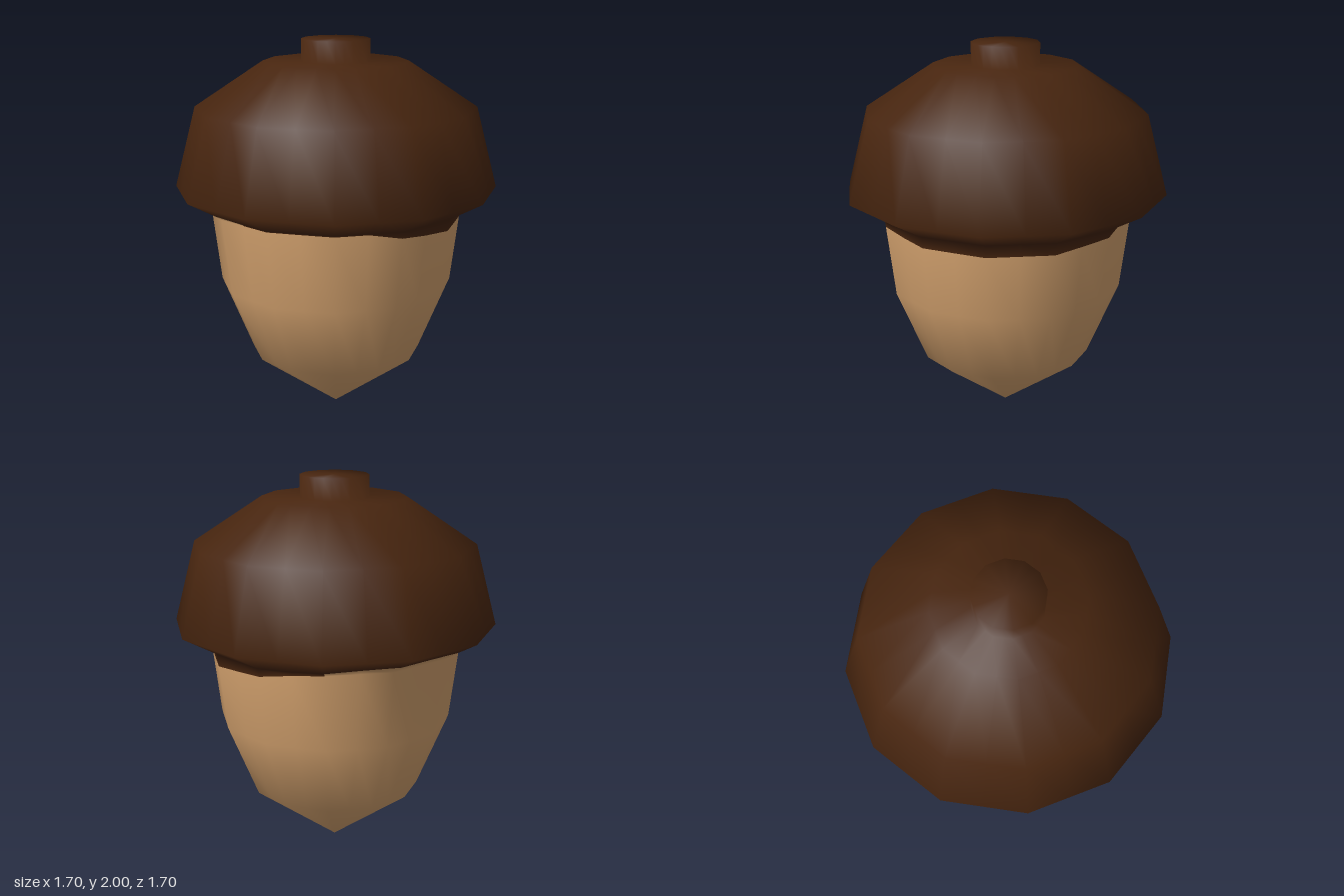
import * as THREE from 'three';

const SIDES = 12, STEPS = 24; // twelve flat sides, each halved for the wavy colour edge
const EDGE = 1.12;            // height where the nut meets the underside of the cap

// Height of the wavy colour edge, every 15 degrees from the front towards +x
const wave = [
  1.118, 1.115, 1.115, 1.115, 1.085, 1.068, 1.06, 1.057, 1.055, 1.055, 1.055, 1.065,
  1.078, 1.1, 1.135, 1.15, 1.16, 1.165, 1.165, 1.165, 1.168, 1.16, 1.14, 1.12,
];

// Radius of the nut wall or the cap underside at height y
const radiusAt = (y) => (y < EDGE
  ? THREE.MathUtils.mapLinear(y, 0.71, EDGE, 0.615, 0.667)
  : THREE.MathUtils.mapLinear(y, EDGE, 1.22, 0.667, 0.85));
const onWall = (y) => [radiusAt(y), y];

// Cross-sections from tip to stem top, as [radius, height] at step j
const rings = [
  () => [0, 0],
  () => [0.45, 0.32],
  () => [0.615, 0.71],
  (j) => onWall(Math.min(wave[j], EDGE - 0.004)),
  (j) => onWall(Math.max(wave[j], EDGE)),
  () => [0.85, 1.22],
  () => [0.74, 1.645],
  () => [0.38, 1.885],
  () => [0.18, 1.885],
  () => [0.18, 2],
  () => [0, 2],
];

export function createModel() {
  const group = new THREE.Group();
  group.name = 'acorn';
  const nutColour = new THREE.MeshStandardMaterial({ color: 0xd9a671 });
  nutColour.name = 'tan shell';
  const capColour = new THREE.MeshStandardMaterial({ color: 0x47250f });
  capColour.name = 'dark brown cap';

  // Ring vertices; odd steps sit in the middle of a flat side
  const positions = [];
  for (const ring of rings) {
    for (let j = 0; j < STEPS; j++) {
      const [r, y] = ring(j);
      const a = (j / STEPS) * Math.PI * 2;
      const flat = j % 2 ? Math.cos(Math.PI / SIDES) : 1;
      positions.push(r * flat * Math.sin(a), y, r * flat * Math.cos(a));
    }
  }

  // Sort the faces into the three parts
  const faces = { nut: [], cap: [], stem: [] };
  for (let i = 0; i < rings.length - 1; i++) {
    for (let j = 0; j < STEPS; j++) {
      const k = (j + 1) % STEPS;
      const a = i * STEPS + j, b = i * STEPS + k;
      const c = b + STEPS, d = a + STEPS;
      const shell = i < 3 || (i === 3 && wave[j] + wave[k] > 2 * EDGE);
      const part = shell ? faces.nut : i < 8 ? faces.cap : faces.stem;
      if (i > 0) part.push(a, b, d);
      if (i === 0) part.push(a, c, d);
      else if (i < rings.length - 2) part.push(b, c, d);
    }
  }

  // Normals are smoothed over the whole surface, then shared by the parts
  const whole = new THREE.BufferGeometry();
  whole.setAttribute('position', new THREE.Float32BufferAttribute(positions, 3));
  whole.setIndex([...faces.nut, ...faces.cap, ...faces.stem]);
  whole.computeVertexNormals();

  for (const name of Object.keys(faces)) {
    const geometry = whole.clone();
    geometry.setIndex(faces[name]);
    const mesh = new THREE.Mesh(geometry, name === 'nut' ? nutColour : capColour);
    mesh.name = name;
    group.add(mesh);
  }
  return group;
}
